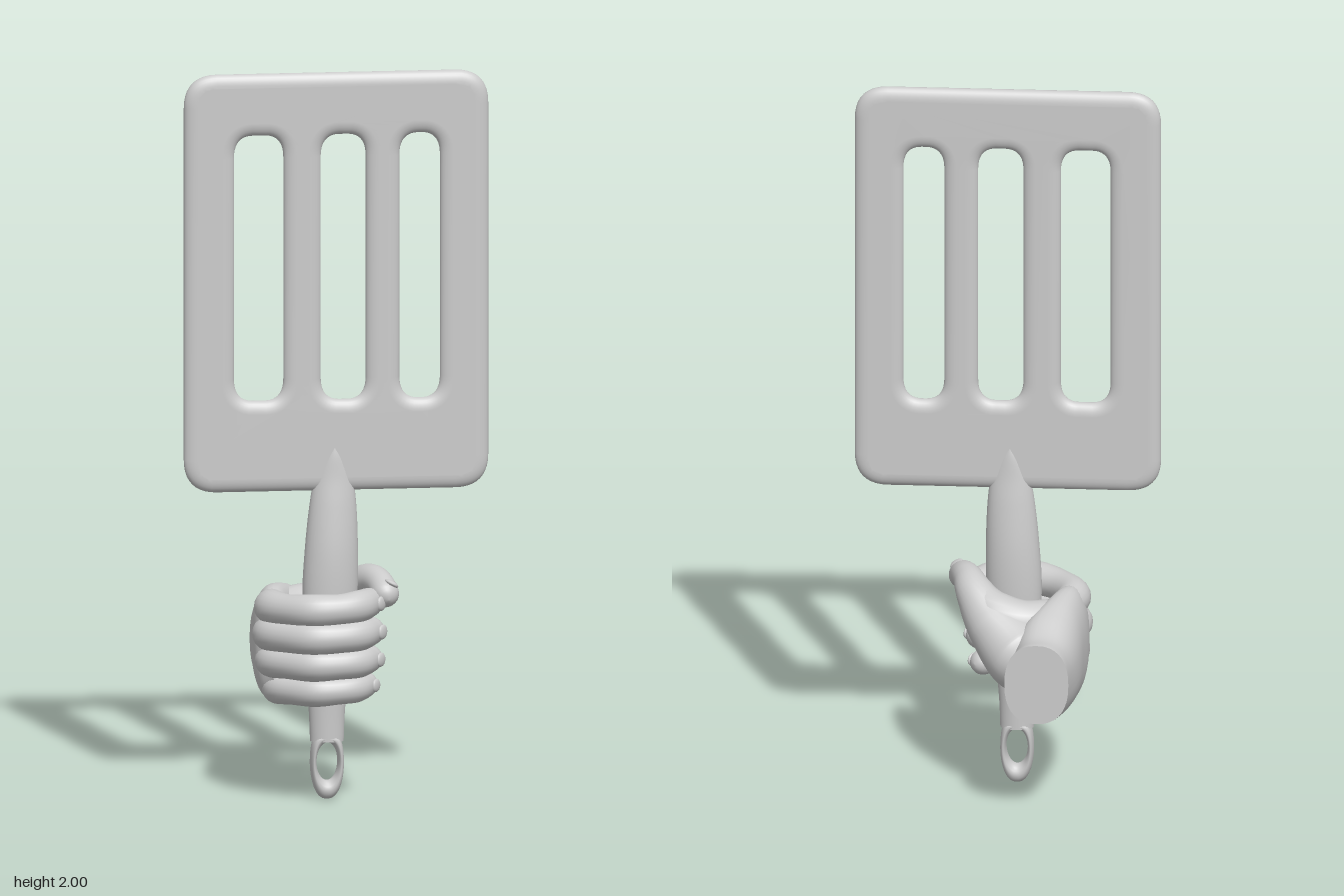
import * as THREE from 'three';
import { mergeVertices } from 'three/addons/utils/BufferGeometryUtils.js';

const V = (x, y, z) => new THREE.Vector3(x, y, z);
const material = new THREE.MeshStandardMaterial({ color: 0xcccccc });

function add(parent, name, geometry) {
  const mesh = new THREE.Mesh(geometry, material);
  mesh.name = name;
  parent.add(mesh);
  return mesh;
}

// Skin a list of equal-length point loops; ends are capped flat unless the loft closes on itself
function loft(rings, closed = false) {
  const n = rings[0].length, pos = [], idx = [];
  const push = (p) => pos.push(p.x, p.y, p.z) / 3 - 1;
  rings.forEach((ring) => ring.forEach(push));
  const last = closed ? rings.length : rings.length - 1;
  for (let i = 0; i < last; i++) {
    const a = i * n, b = ((i + 1) % rings.length) * n;
    for (let j = 0; j < n; j++) {
      const k = (j + 1) % n;
      idx.push(a + j, a + k, b + j, a + k, b + k, b + j);
    }
  }
  if (!closed) [rings[0], rings[rings.length - 1]].forEach((ring, end) => {
    const mid = ring.reduce((s, p) => s.add(p), V(0, 0, 0)).divideScalar(n);
    const c = push(mid);
    const s = pos.length / 3;
    ring.forEach(push);
    for (let j = 0; j < n; j++) {
      const k = (j + 1) % n;
      if (end) idx.push(c, s + j, s + k); else idx.push(c, s + k, s + j);
    }
  });
  // turn the faces outward if the enclosed volume is negative
  let volume = 0;
  const at = (i) => V().fromArray(pos, idx[i] * 3);
  for (let i = 0; i < idx.length; i += 3) volume += at(i).dot(at(i + 1).cross(at(i + 2)));
  if (volume < 0) idx.reverse();
  const g = new THREE.BufferGeometry();
  g.setAttribute('position', new THREE.Float32BufferAttribute(pos, 3));
  g.setIndex(idx);
  g.computeVertexNormals();
  return g;
}

// Smoothly resample rows of numbers [a, b, c, d, e]
function resample(rows, steps) {
  const first = new THREE.CatmullRomCurve3(rows.map((r) => V(r[0], r[1], r[2])), false, 'catmullrom', 0.5);
  const rest = new THREE.CatmullRomCurve3(rows.map((r) => V(r[3], r[4] ?? 0, 0)), false, 'catmullrom', 0.5);
  return Array.from({ length: steps + 1 }, (_, i) => {
    const p = first.getPoint(i / steps), q = rest.getPoint(i / steps);
    return { v: [p.x, p.y, p.z, q.x, q.y], tangent: first.getTangent(i / steps) };
  });
}

// Round limb with changing radius and domed ends; rows are [x, y, z, radius]
function limb(rows, sides = 20) {
  const samples = resample(rows, 36);
  const rings = [];
  const ring = (s, angle) => {
    const [x, y, z, r] = s.v;
    const side = V(0, 1, 0).cross(s.tangent).normalize();
    const up = s.tangent.clone().cross(side);
    const c = V(x, y, z).addScaledVector(s.tangent, r * Math.sin(angle));
    const rr = r * Math.cos(angle);
    rings.push(Array.from({ length: sides }, (_, j) => {
      const a = (j / sides) * Math.PI * 2;
      return c.clone().addScaledVector(side, rr * Math.cos(a)).addScaledVector(up, rr * Math.sin(a));
    }));
  };
  for (let i = 0; i < 6; i++) ring(samples[0], -1.55 * (1 - i / 6));
  samples.forEach((s) => ring(s, 0));
  for (let i = 1; i <= 6; i++) ring(samples[samples.length - 1], (1.55 * i) / 6);
  return loft(rings);
}

// Rectangle with soft corners
function softRect(path, x0, x1, y0, y1, rx, ry) {
  path.moveTo(x0 + rx, y0).lineTo(x1 - rx, y0);
  path.bezierCurveTo(x1 - rx * 0.35, y0, x1, y0 + ry * 0.35, x1, y0 + ry).lineTo(x1, y1 - ry);
  path.bezierCurveTo(x1, y1 - ry * 0.35, x1 - rx * 0.35, y1, x1 - rx, y1).lineTo(x0 + rx, y1);
  path.bezierCurveTo(x0 + rx * 0.35, y1, x0, y1 - ry * 0.35, x0, y1 - ry).lineTo(x0, y0 + ry);
  path.bezierCurveTo(x0, y0 + ry * 0.35, x0 + rx * 0.35, y0, x0 + rx, y0);
  return path;
}

function bladeGeometry() {
  const shape = softRect(new THREE.Shape(), -0.417, 0.415, 0.85, 2, 0.09, 0.09);
  [[-0.28, -0.145], [-0.043, 0.08], [0.172, 0.283]].forEach(([a, b]) =>
    shape.holes.push(softRect(new THREE.Path(), a, b, 1.1, 1.83, 0.05, 0.06)));
  let g = new THREE.ExtrudeGeometry(shape, {
    depth: 0.002, bevelThickness: 0.021, bevelSize: 0.036, bevelOffset: -0.036, bevelSegments: 7, curveSegments: 10,
  });
  g.translate(0, 0, 0.081);
  g.deleteAttribute('uv');
  g.deleteAttribute('normal');
  g = mergeVertices(g, 1e-5);
  g.computeVertexNormals();
  return g;
}

const Z = 0.082; // depth of the handle's axis

function handleGeometry() {
  // y, centre x, half width, half depth
  const rows = [[0.16, -0.026, 0.046, 0.035], [0.25, -0.026, 0.05, 0.038], [0.4, -0.024, 0.062, 0.045],
    [0.56, -0.018, 0.075, 0.053], [0.68, -0.014, 0.073, 0.052], [0.8, -0.01, 0.065, 0.041],
    [0.88, -0.008, 0.053, 0.031], [0.94, -0.007, 0.03, 0.026], [0.975, -0.007, 0.005, 0.021]];
  return loft(resample(rows, 48).map(({ v: [y, cx, hx, hz] }) =>
    Array.from({ length: 32 }, (_, j) => {
      const a = (j / 32) * Math.PI * 2;
      return V(cx + hx * Math.cos(a), y, Z + hz * Math.sin(a));
    })));
}

// Hanging eye at the foot of the handle: an oval loop, squarer at the top to meet the grip
function eyeGeometry() {
  const rings = [];
  for (let i = 0; i < 48; i++) {
    const u = ((i + 0.5) / 48) * Math.PI * 2, c = Math.cos(u), s = Math.sin(u);
    const inner = V(-0.026 + 0.029 * c, 0.104 + 0.052 * s, Z);
    const outer = V(-0.026 + 0.046 * Math.sign(c) * Math.abs(c) ** (s > 0 ? 0.4 : 0.85), 0.1 + (s > 0 ? 0.08 : 0.1) * s, Z);
    const hz = 0.031 + 0.004 * s;
    rings.push(Array.from({ length: 16 }, (_, j) => {
      const a = (j / 16) * Math.PI * 2;
      const p = inner.clone().lerp(outer, 0.5 + 0.5 * Math.cos(a));
      p.z = Z + hz * Math.sin(a);
      return p;
    }));
  }
  return loft(rings, true);
}

function palmGeometry() {
  // z, centre x, half width, centre y, half height
  const rows = [[-0.265, -0.101, 0.087, 0.408, 0.113], [-0.2, -0.112, 0.086, 0.402, 0.12],
    [-0.12, -0.122, 0.09, 0.412, 0.143], [-0.05, -0.143, 0.075, 0.42, 0.155], [0.03, -0.165, 0.059, 0.425, 0.157],
    [0.09, -0.171, 0.048, 0.425, 0.14], [0.13, -0.165, 0.02, 0.425, 0.1]];
  const pow = (t) => Math.sign(t) * Math.abs(t) ** 0.85;
  return loft(resample(rows, 36).map(({ v: [z, cx, hx, cy, hy] }) =>
    Array.from({ length: 36 }, (_, j) => {
      const a = (j / 36) * Math.PI * 2;
      return V(cx + hx * pow(Math.cos(a)), cy + hy * pow(Math.sin(a)), z);
    })));
}

function nail(parent, name, x, y, z, yaw, pitch, size) {
  const m = add(parent, name, new THREE.SphereGeometry(1, 16, 10));
  m.scale.set(size * 0.35, size * 0.85, size);
  m.position.set(x, y, z);
  m.rotation.set(0, yaw, pitch);
}

export function createModel() {
  const model = new THREE.Group();
  model.name = 'handHoldingSpatula';

  const spatula = new THREE.Group();
  spatula.name = 'spatula';
  add(spatula, 'slottedBlade', bladeGeometry());
  add(spatula, 'handle', handleGeometry());
  add(spatula, 'hangingEye', eyeGeometry());

  const hand = new THREE.Group();
  hand.name = 'hand';
  add(hand, 'palmAndWrist', palmGeometry());

  // Fingers curl from the knuckles round the front: name, y at knuckle, y at tip, radius, reach
  [['index', 0.53, 0.55, 0.044, 1], ['middle', 0.458, 0.472, 0.044, 1.03],
    ['ring', 0.384, 0.395, 0.042, 1], ['little', 0.306, 0.322, 0.039, 0.9]].forEach(([name, y0, y1, r, k]) => {
    const path = [[-0.165, 0.03, 1], [-0.178, 0.1, 1.08], [-0.14, 0.167, 0.97], [-0.078, 0.212, 1.05],
      [-0.01, 0.217, 0.96], [0.045, 0.195, 1], [0.08, 0.15, 0.9]];
    add(hand, name + 'Finger', limb(path.map(([x, z, f], i) =>
      [-0.01 + (x + 0.01) * k, y0 + ((y1 - y0) * i) / 6, 0.03 + (z - 0.03) * k, r * f])));
    nail(hand, name + 'Nail', -0.01 + 0.09 * k + r * 0.72, y1, 0.03 + 0.12 * k + r * 0.5, -0.6, 0, r * 0.55);
  });

  // Thumb swells from the heel of the hand and crosses beside the handle
  add(hand, 'thumb', limb([[-0.1, 0.41, -0.18, 0.075], [-0.045, 0.435, -0.11, 0.095], [0.03, 0.505, -0.055, 0.075],
    [0.082, 0.572, -0.005, 0.053], [0.103, 0.594, 0.045, 0.042], [0.118, 0.59, 0.095, 0.038], [0.126, 0.572, 0.14, 0.038]], 28));
  nail(hand, 'thumbNail', 0.142, 0.6, 0.147, 0.25, 1.05, 0.024);

  // Web of skin between thumb and index knuckle
  add(hand, 'thumbWeb', limb([[-0.15, 0.5, 0.0, 0.06], [-0.1, 0.51, -0.04, 0.058], [-0.04, 0.515, -0.06, 0.06],
    [0.03, 0.535, -0.045, 0.06], [0.08, 0.575, -0.005, 0.045]]));

  model.add(spatula, hand);
  return model;
}
